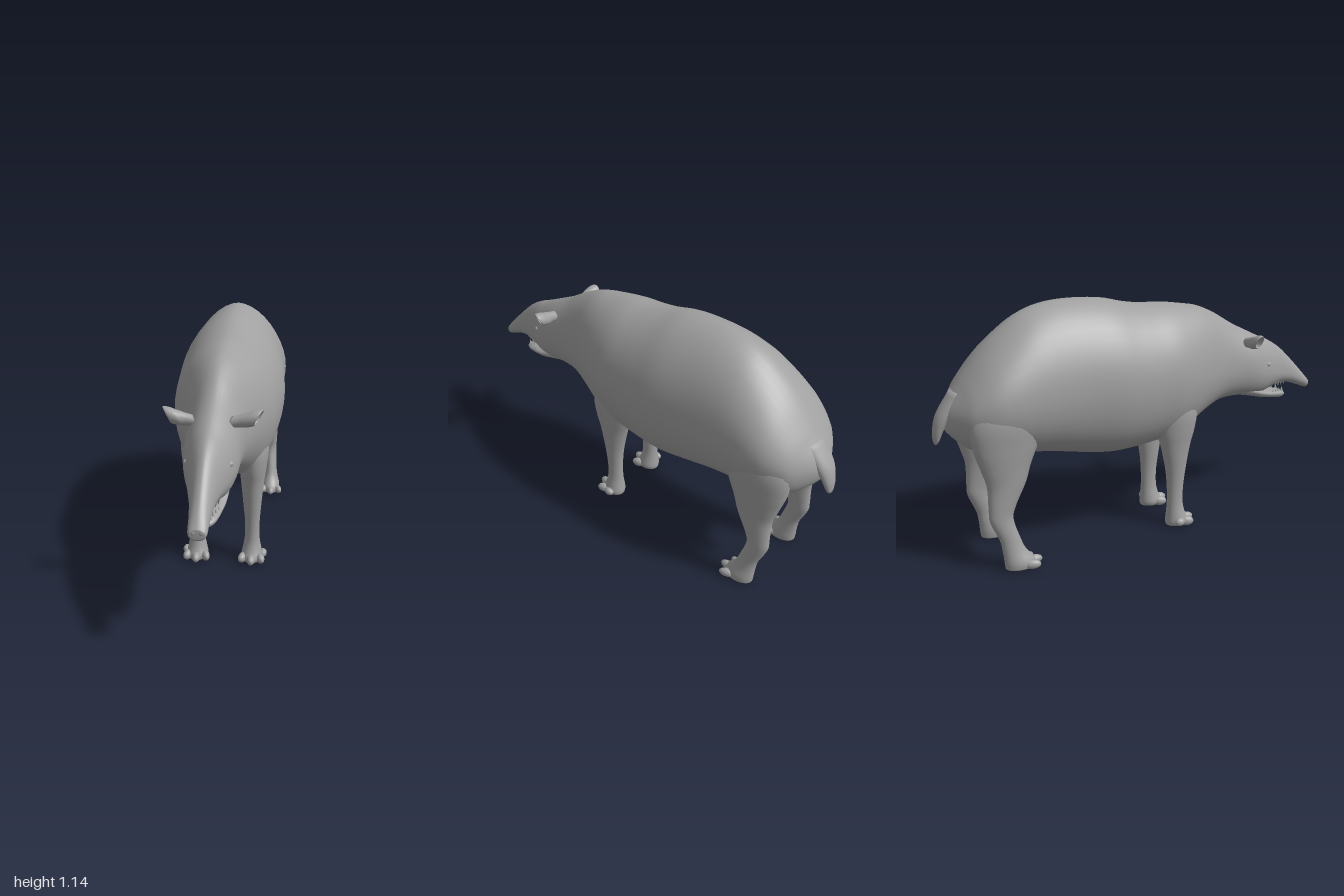
import * as THREE from 'three';

const hide = new THREE.MeshStandardMaterial({ color: 0xa0a0a0 });
hide.name = 'greyHide';

// Smoothly interpolates rows of numbers at t in 0..1
function sample(keys, t) {
  const f = t * (keys.length - 1);
  const i = Math.min(Math.floor(f), keys.length - 2);
  const u = f - i;
  const at = (k) => keys[Math.max(0, Math.min(keys.length - 1, k))];
  return keys[i].map((_, c) => {
    const [a, b, d, e] = [at(i - 1)[c], at(i)[c], at(i + 1)[c], at(i + 2)[c]];
    return b + 0.5 * u * (d - a + u * (2 * a - 5 * b + 4 * d - e + u * (3 * (b - d) + e - a)));
  });
}

// Skins closed rings; place(key, cos, sin) gives one point of a ring
function loft(name, keys, place, around = 28, perKey = 4) {
  const steps = (keys.length - 1) * perKey;
  const pos = [], index = [];
  for (let i = 0; i <= steps; i++) {
    const key = sample(keys, i / steps);
    for (let j = 0; j < around; j++) {
      const a = (j / around) * Math.PI * 2;
      pos.push(...place(key, Math.cos(a), Math.sin(a)));
    }
  }
  for (let i = 0; i < steps; i++) {
    for (let j = 0; j < around; j++) {
      const a = i * around + j, b = i * around + ((j + 1) % around);
      index.push(a, b, a + around, b, b + around, a + around);
    }
  }
  // End caps
  for (const end of [0, steps]) {
    const start = end * around, mid = [0, 0, 0];
    for (let j = 0; j < around; j++) for (let c = 0; c < 3; c++) mid[c] += pos[(start + j) * 3 + c] / around;
    const centre = pos.length / 3;
    pos.push(...mid);
    for (let j = 0; j < around; j++) {
      const a = start + j, b = start + ((j + 1) % around);
      if (end) index.push(a, b, centre);
      else index.push(b, a, centre);
    }
  }
  const geo = new THREE.BufferGeometry();
  geo.setAttribute('position', new THREE.Float32BufferAttribute(pos, 3));
  geo.setIndex(index);
  geo.computeVertexNormals();
  const mesh = new THREE.Mesh(geo, hide);
  mesh.name = name;
  return mesh;
}

const power = (v, p) => Math.sign(v) * Math.pow(Math.abs(v), p);

// Section along z: [z, top, widest height, bottom, half width]
const trunkRing = ([z, top, mid, bottom, w], c, s) => [
  w * power(c, s > 0 ? 1.15 : 0.8), mid + s * (s > 0 ? top - mid : mid - bottom), z];

// Section down a limb: [x, y, z, half width, half depth]
const limbRing = (side) => ([x, y, z, rx, rz], c, s) => [side * x + rx * c, y, z + rz * s];

function blob(name, x, y, z, sx, sy, sz) {
  const mesh = new THREE.Mesh(new THREE.SphereGeometry(1, 14, 10), hide);
  mesh.name = name;
  mesh.position.set(x, y, z);
  mesh.scale.set(sx, sy, sz);
  return mesh;
}

const trunk = [
  [-0.955, 0.71, 0.68, 0.645, 0.03], [-0.93, 0.76, 0.69, 0.61, 0.085], [-0.89, 0.815, 0.7, 0.57, 0.155],
  [-0.85, 0.87, 0.72, 0.54, 0.195], [-0.78, 0.955, 0.74, 0.52, 0.23], [-0.7, 1.03, 0.75, 0.51, 0.243],
  [-0.6, 1.1, 0.76, 0.49, 0.243], [-0.5, 1.135, 0.76, 0.475, 0.243], [-0.38, 1.147, 0.76, 0.448, 0.248],
  [-0.22, 1.138, 0.76, 0.42, 0.26], [-0.1, 1.11, 0.75, 0.42, 0.255], [0, 1.095, 0.75, 0.428, 0.246],
  [0.1, 1.09, 0.75, 0.44, 0.235], [0.2, 1.075, 0.75, 0.475, 0.208], [0.3, 1.055, 0.75, 0.53, 0.17],
  [0.4, 1.01, 0.74, 0.572, 0.135], [0.5, 0.95, 0.73, 0.58, 0.12], [0.6, 0.9, 0.71, 0.572, 0.115],
  [0.67, 0.866, 0.69, 0.572, 0.1], [0.73, 0.84, 0.68, 0.59, 0.083], [0.8, 0.797, 0.665, 0.605, 0.062],
  [0.87, 0.735, 0.645, 0.597, 0.048], [0.94, 0.665, 0.61, 0.572, 0.04], [0.985, 0.617, 0.585, 0.555, 0.037],
  [0.998, 0.602, 0.585, 0.564, 0.028],
];

const lowerJaw = [
  [0.52, 0.67, 0.63, 0.582, 0.075], [0.6, 0.64, 0.6, 0.566, 0.078], [0.68, 0.595, 0.575, 0.546, 0.074],
  [0.75, 0.578, 0.56, 0.533, 0.062], [0.81, 0.568, 0.552, 0.524, 0.048], [0.84, 0.555, 0.545, 0.53, 0.028],
];

const frontLeg = [
  [0.115, 0.76, 0.09, 0.07, 0.11], [0.13, 0.6, 0.105, 0.075, 0.12], [0.133, 0.5, 0.113, 0.065, 0.1],
  [0.132, 0.42, 0.115, 0.055, 0.076], [0.132, 0.3, 0.117, 0.043, 0.052], [0.133, 0.2, 0.115, 0.035, 0.041],
  [0.133, 0.12, 0.115, 0.036, 0.04], [0.133, 0.07, 0.119, 0.044, 0.047], [0.133, 0.03, 0.126, 0.052, 0.058],
  [0.133, 0.01, 0.126, 0.045, 0.056],
];

const hindLeg = [
  [0.13, 0.85, -0.7, 0.07, 0.12], [0.145, 0.7, -0.72, 0.088, 0.16], [0.15, 0.58, -0.73, 0.076, 0.145],
  [0.155, 0.48, -0.737, 0.06, 0.11], [0.158, 0.4, -0.74, 0.049, 0.086], [0.163, 0.3, -0.766, 0.038, 0.06],
  [0.165, 0.24, -0.772, 0.034, 0.052], [0.17, 0.15, -0.742, 0.032, 0.046], [0.172, 0.09, -0.725, 0.038, 0.052],
  [0.175, 0.04, -0.703, 0.048, 0.07], [0.175, 0.01, -0.7, 0.046, 0.07],
];

const tail = [
  [0, 0.8, -0.88, 0.06, 0.03], [0, 0.71, -0.94, 0.054, 0.035], [0, 0.645, -0.972, 0.04, 0.024],
  [0, 0.595, -0.985, 0.024, 0.014], [0, 0.577, -0.988, 0.01, 0.006],
];

// Ear cup, outside then folded inward: [x, y, radius y, radius z]
const ear = [
  [0.075, 0.86, 0.025, 0.022], [0.115, 0.868, 0.028, 0.024], [0.15, 0.876, 0.036, 0.031],
  [0.18, 0.881, 0.036, 0.031], [0.188, 0.882, 0.03, 0.026], [0.175, 0.88, 0.025, 0.021], [0.14, 0.873, 0.015, 0.012],
];

export function createModel() {
  const model = new THREE.Group();
  model.name = 'tapir';
  model.add(loft('bodyAndHead', trunk, trunkRing, 40));
  model.add(loft('lowerJaw', lowerJaw, trunkRing, 24));
  model.add(loft('tail', tail, limbRing(1), 20));

  for (const side of [1, -1]) {
    const tag = side > 0 ? 'left' : 'right';
    model.add(loft(tag + 'FrontLeg', frontLeg, limbRing(side)));
    model.add(loft(tag + 'HindLeg', hindLeg, limbRing(side)));

    // Toes fan out ahead of each foot
    for (const k of [-1, 0, 1]) {
      const front = blob(tag + 'FrontToe', side * 0.133 + k * 0.042, 0.028, 0.18 - Math.abs(k) * 0.022, 0.02, 0.024, 0.036);
      const hind = blob(tag + 'HindToe', side * 0.178 + k * 0.038, 0.026, -0.64 - Math.abs(k) * 0.022, 0.019, 0.022, 0.04);
      front.rotation.y = hind.rotation.y = k * 0.35;
      model.add(front, hind);
    }
    model.add(blob(tag + 'OuterToe', side * 0.187, 0.035, 0.115, 0.018, 0.02, 0.026));

    // Slanted ear opening outward and forward
    model.add(loft(tag + 'Ear', ear, ([x, y, ry, rz], c, s) => {
      const lean = x > 0.13 ? 0.5 : 0.2;
      return [side * (x + lean * ry * c - 0.3 * rz * s * side), y + ry * c, 0.545 + side * rz * s];
    }, 20));

    model.add(blob(tag + 'Eye', side * 0.088, 0.735, 0.68, 0.012, 0.012, 0.014));
    model.add(blob(tag + 'Nostril', side * 0.016, 0.588, 0.99, 0.013, 0.014, 0.01));

    // Small teeth along both jaws
    for (let i = 0; i < 4; i++) {
      const z = 0.75 + i * 0.024, x = side * (0.05 - i * 0.008);
      const lower = new THREE.Mesh(new THREE.ConeGeometry(0.008, 0.026, 8), hide);
      lower.name = 'lowerTooth';
      lower.position.set(x, 0.572, z);
      const upper = lower.clone();
      upper.name = 'upperTooth';
      upper.position.set(x, 0.606, z + 0.01);
      upper.rotation.x = Math.PI;
      model.add(lower, upper);
    }
  }
  return model;
}
